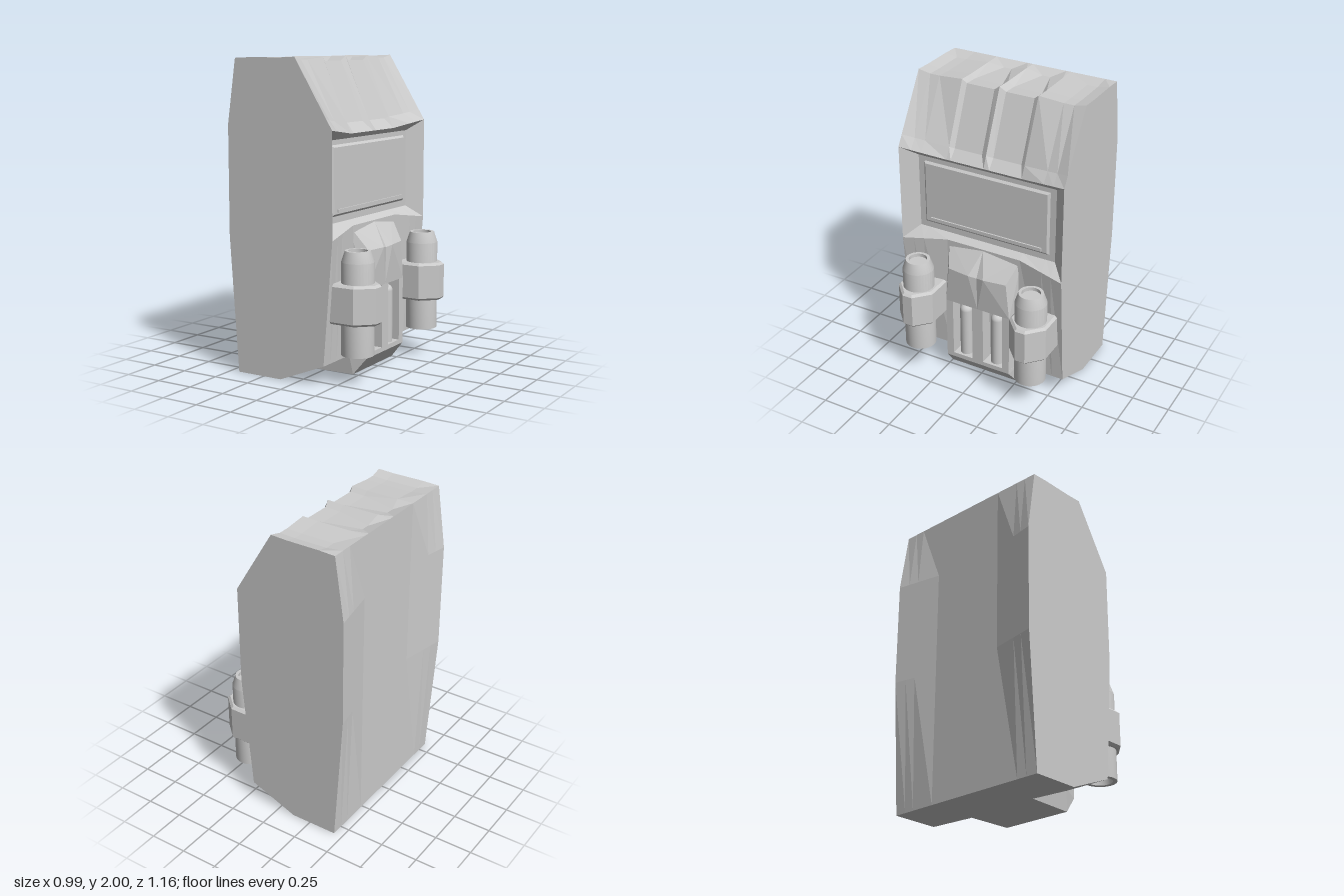
import * as THREE from 'three';
import { ConvexGeometry } from 'three/addons/geometries/ConvexGeometry.js';
import { toCreasedNormals } from 'three/addons/utils/BufferGeometryUtils.js';

const flat = new THREE.MeshStandardMaterial({ color: 0xcccccc, flatShading: true });
const smooth = new THREE.MeshStandardMaterial({ color: 0xcccccc });

function add(parent, name, geometry, material = flat) {
  const mesh = new THREE.Mesh(geometry, material);
  mesh.name = name;
  parent.add(mesh);
  return mesh;
}

// Convex solid; points may be mirrored across z
const hull = (pts, mirror = false) => new ConvexGeometry(
  [...pts, ...(mirror ? pts.map(([x, y, z]) => [x, y, -z]) : [])].map(p => new THREE.Vector3(...p)));

const box = (x0, x1, y0, y1, z0, z1) =>
  new THREE.BoxGeometry(x1 - x0, y1 - y0, z1 - z0).translate((x0 + x1) / 2, (y0 + y1) / 2, (z0 + z1) / 2);

// Shell: rows run up the back, over the top, down the front; columns run from the middle to the side
function shellGeometry() {
  const Z = [0, 0.04, 0.235, 0.265, 0.43, 0.5, 0.58];
  const panelZ = [0, 0.04, 0.235, 0.265, 0.43, 0.49, 0.58];
  const depth = [0, 0.03, 0.03, 0.005, 0.018, 0.018, 0];
  const out = z => Math.max(0, (z - 0.265) / 0.315);
  const row = (f, zs = Z) => zs.map((z, i) => [...f(z, i), z]);
  const slopeEnd = z => [0.205 + 0.06 * out(z), 1.53 + 0.04 * out(z)];
  const side = (p, q) => (z, i) => (i === 6 ? p : q);
  const rows = [
    row(() => [-0.44, 0]),
    row(z => [-0.44 - 0.06 * out(z), 0.88]),
    row(z => [-0.44 - 0.06 * out(z), 1.58]),
    row(() => [-0.44, 1.99]),
    // roof channels start narrow and widen towards the front
    row((z, i) => [i < 3 ? -0.355 : -0.33, 1.995 - depth[i]], [0, 0.11, 0.165, 0.265, 0.43, 0.5, 0.58]),
    row((z, i) => [-0.11, 1.995 - depth[i]]),
    row((z, i) => [-depth[i] * 0.3, 2 - depth[i]]),
    // channels run on down the slope and fade out
    row((z, i) => {
      const [x, y] = slopeEnd(z);
      return [x * 0.84 - depth[i] * 0.7, 2 + (y - 2) * 0.84 - depth[i] * 0.4];
    }),
    row(slopeEnd),
    // recessed front panel
    row(side([0.265, 1.57], [0.175, 1.5]), panelZ),
    row(side([0.265, 0.91], [0.175, 0.99]), panelZ),
    row(z => [0.22 + 0.045 * out(z), 0.96 - 0.05 * out(z)]),
    row(() => [0.2, 0.13]),
    row(() => [-0.12, 0]),
  ].map(r => [...r.slice(1).reverse().map(([x, y, z]) => [x, y, -z]), ...r]);

  const v = [];
  const tri = (...p) => p.forEach(q => v.push(...q));
  const n = rows.length, last = rows[0].length - 1;
  for (let r = 0; r < n; r++) {
    const A = rows[r], B = rows[(r + 1) % n];
    for (let c = 0; c < last; c++) {
      tri(A[c], A[c + 1], B[c]);
      tri(A[c + 1], B[c + 1], B[c]);
    }
  }
  // flat side caps
  for (let k = 1; k < n - 1; k++) {
    tri(rows[0][last], rows[k + 1][last], rows[k][last]);
    tri(rows[0][0], rows[k][0], rows[k + 1][0]);
  }
  const g = new THREE.BufferGeometry();
  g.setAttribute('position', new THREE.Float32BufferAttribute(v, 3));
  g.computeVertexNormals();
  return g;
}

function createThruster() {
  const group = new THREE.Group();
  group.name = 'thruster';
  // nozzle barrel, hollow at both ends
  const profile = [[0, 0.24], [0.075, 0.24], [0.075, 0.19], [0.103, 0.19], [0.103, 0.77],
    [0.08, 0.838], [0.06, 0.838], [0.06, 0.815], [0, 0.815]].map(p => new THREE.Vector2(...p));
  add(group, 'barrel', toCreasedNormals(new THREE.LatheGeometry(profile, 32), 0.35), smooth);
  // six-sided housing that reaches back to the shell
  const b = 0.015;
  const shape = new THREE.Shape([[-0.14, -0.13], [0.045, -0.13], [0.148, -0.035], [0.148, 0.035],
    [0.045, 0.13], [-0.14, 0.13]].map(p => new THREE.Vector2(...p)));
  const housing = new THREE.ExtrudeGeometry(shape,
    { depth: 0.25 - 2 * b, bevelThickness: b, bevelSize: b, bevelOffset: -b, bevelSegments: 1 });
  add(group, 'housing', housing.rotateX(-Math.PI / 2).translate(0, 0.39 + b, 0));
  return group;
}

function createCentreBlock() {
  const group = new THREE.Group();
  group.name = 'centreBlock';
  add(group, 'foot', hull([[-0.12, 0, 0.265], [0.21, 0, 0.25], [0.3, 0.11, 0.235],
    [0.3, 0.14, 0.235], [0.19, 0.14, 0.268]], true));
  add(group, 'middleRib', box(0.19, 0.3, 0.13, 0.56, -0.04, 0.04));
  for (const s of [1, -1]) {
    const m = pts => pts.map(([x, y, z]) => [x, y, z * s]);
    add(group, 'hood', hull(m([[0.19, 0.55, 0.265], [0.19, 0.955, 0.265], [0.3, 0.55, 0.235],
      [0.3, 0.8, 0.21], [0.215, 0.92, 0.2], [0.32, 0.8, 0.055], [0.22, 0.935, 0.1],
      [0.3, 0.55, 0], [0.305, 0.79, 0], [0.22, 0.95, 0], [0.19, 0.96, 0], [0.19, 0.55, 0]])));
    add(group, 'sideRib', hull(m([0.13, 0.56].flatMap(y =>
      [[0.19, y, 0.265], [0.3, y, 0.235], [0.3, y, 0.185], [0.19, y, 0.185]]))));
    // round-topped tube standing in the slot
    const tube = add(group, 'slotTube', new THREE.CapsuleGeometry(0.043, 0.36, 8, 20), smooth);
    tube.position.set(0.24, 0.3, s * 0.117);
  }
  return group;
}

export function createModel() {
  const model = new THREE.Group();
  model.name = 'backpack';
  add(model, 'shell', shellGeometry());

  // bevelled plate and slat inside the front recess
  add(model, 'frontPlate', hull([[0.17, 1.025, 0.455], [0.17, 1.475, 0.455],
    [0.188, 1.045, 0.435], [0.188, 1.455, 0.435]], true));
  add(model, 'slat', box(0.18, 0.198, 1.055, 1.075, -0.4, 0.4));

  model.add(createCentreBlock());
  for (const s of [1, -1]) {
    const thruster = createThruster();
    thruster.position.set(0.345, 0, s * 0.415);
    model.add(thruster);
  }
  return model;
}
